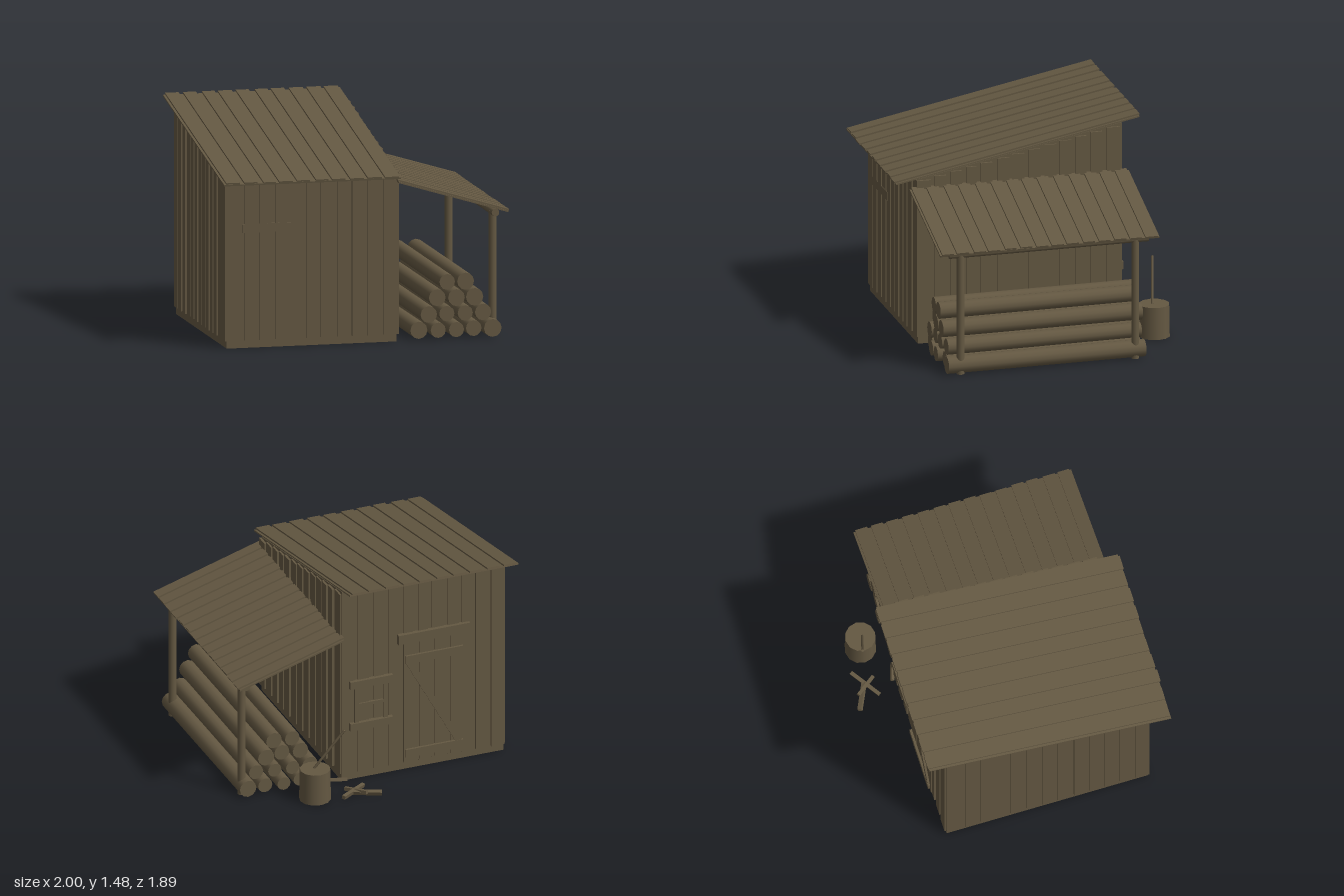
import * as THREE from 'three';

export function createModel() {
  const model = new THREE.Group();
  const wood = new THREE.MeshStandardMaterial({ color: 0x645842 });
  wood.name = 'weathered wood';

  // Small seeded generator for uneven boards
  let seed = 11;
  const rnd = () => (seed = (seed * 16807) % 2147483647) / 2147483647;
  const add = (name, geo, parent = model) => {
    const m = new THREE.Mesh(geo, wood);
    m.name = name;
    parent.add(m);
    return m;
  };
  // Box given by its two extreme corners
  const span = (name, x0, x1, y0, y1, z0, z1, parent) => {
    const m = add(name, new THREE.BoxGeometry(x1 - x0, y1 - y0, z1 - z0), parent);
    m.position.set((x0 + x1) / 2, (y0 + y1) / 2, (z0 + z1) / 2);
    return m;
  };
  // Round or square bar between two points
  const bar = (name, a, b, r, sides = 12, r2 = r, parent = model) => {
    const p = new THREE.Vector3(...a), q = new THREE.Vector3(...b);
    let geo = new THREE.CylinderGeometry(r2, r, p.distanceTo(q), sides);
    if (sides < 6) { geo = geo.toNonIndexed(); geo.computeVertexNormals(); }
    const m = add(name, geo, parent);
    m.position.copy(p).add(q).multiplyScalar(0.5);
    m.quaternion.setFromUnitVectors(new THREE.Vector3(0, 1, 0), q.sub(p).normalize());
    return m;
  };
  const group = (name) => {
    const g = new THREE.Group();
    g.name = name;
    model.add(g);
    return g;
  };
  const roofY = (z) => 1.14 + (0.94 - z) * 0.194;
  const X0 = -0.945, X1 = 0.23, Z0 = -0.63, Z1 = 0.78;

  // Sill frame below the floor
  const sill = group('sillFrame');
  span('frontSill', X0, X1, 0, 0.055, Z1 - 0.06, Z1, sill);
  span('backSill', X0, X1, 0, 0.055, Z0, Z0 + 0.06, sill);
  span('leftSill', X1 - 0.06, X1, 0, 0.055, Z0 + 0.06, Z1 - 0.06, sill);
  span('rightSill', X0, X0 + 0.06, 0, 0.055, Z0 + 0.06, Z1 - 0.06, sill);

  // Shed body with a sloping top
  const outline = new THREE.Shape([[-Z1, 0.05], [-Z0, 0.05], [-Z0, roofY(Z0) - 0.008], [-Z1, roofY(Z1) - 0.008]]
    .map((p) => new THREE.Vector2(...p)));
  const body = add('shedBody', new THREE.ExtrudeGeometry(outline, { depth: X1 - X0, bevelEnabled: false }).rotateY(Math.PI / 2));
  body.position.x = X0;

  // Wall boards: wide boards over the body, with narrow gaps
  const walls = group('wallBoards');
  const boards = (from, to, n, make) => {
    const step = (to - from) / n;
    for (let i = 0; i < n; i++) {
      const a = from + i * step + (i ? 0.008 + rnd() * 0.012 : 0);
      const b = from + (i + 1) * step - (i < n - 1 ? 0.008 + rnd() * 0.012 : 0);
      make(a, b, 0.009 + rnd() * 0.007);
    }
  };
  boards(X0, X1, 11, (a, b, t) => {
    span('frontBoard', a, b, 0.052, roofY(Z1) - 0.014, Z1, Z1 + t, walls);
  });
  boards(X0, X1, 11, (a, b, t) => {
    span('backBoard', a, b, 0.052, roofY(Z0) - 0.01, Z0 - t, Z0, walls);
  });
  boards(Z0, Z1 + 0.01, 13, (a, b, t) => {
    const top = roofY(b) - 0.014;
    span('leftBoard', X1, X1 + t, 0.052, top, a, b, walls);
    span('rightBoard', X0 - t, X0, 0.052, top, a, b, walls);
  });
  span('frontCrossboard', -0.84, -0.48, 0.785, 0.845, Z1, Z1 + 0.013, walls);

  // Board-and-gap roof panel; boards run along local x, spread along local z
  const roofPanel = (name, length, width, n) => {
    const g = group(name);
    span('underBoards', -length / 2 + 0.008, length / 2 - 0.008, -0.008, 0.002, -width / 2, width / 2, g);
    const step = width / n;
    for (let i = 0; i < n; i++) {
      const a = -width / 2 + i * step + 0.01 + rnd() * 0.01;
      const w = step * (0.7 + rnd() * 0.1), e = rnd() * 0.012;
      span('roofBoard', -length / 2, length / 2 - e, 0.002, 0.013, a, a + w, g);
    }
    return g;
  };
  const main = roofPanel('mainRoof', 1.745, 1.225, 10);
  main.rotation.set(0.1917, -Math.PI / 2, 0, 'XYZ');
  main.position.set(-0.3875, 1.305, 0.0825);
  const lean = roofPanel('leanToRoof', 0.808, 1.53, 14);
  lean.rotation.z = -0.294;
  lean.position.set(0.6125, 0.981, 0.075);

  // Lean-to posts and beam
  for (const z of [0.68, -0.54]) bar('leanToPost', [0.92, 0, z], [0.92, 0.85, z], 0.027);
  bar('leanToBeam', [0.92, 0.845, 0.76], [0.92, 0.845, -0.63], 0.026);

  // Stacked logs
  const logs = group('logPile');
  [5, 4, 3, 2].forEach((n, row) => {
    for (let i = 0; i < n; i++) {
      const x = 0.395 + row * 0.063 + i * 0.126;
      const y = 0.062 + row * 0.109;
      const r = 0.052 + rnd() * 0.009;
      bar('log', [x, y, 0.74 + rnd() * 0.04], [x, y, -0.59 - rnd() * 0.04], r, 12, r - rnd() * 0.005, logs);
    }
  });

  // Chopping block with a leaning handle
  bar('choppingBlock', [0.49, 0, -0.795], [0.49, 0.225, -0.795], 0.108, 12, 0.104);
  bar('axeHandle', [0.5, 0.21, -0.78], [0.295, 0.497, -0.838], 0.009, 6);

  // Split kindling on the ground
  const kindling = group('kindling');
  bar('stick', [0.06, 0.022, -0.93], [0.24, 0.022, -0.845], 0.02, 4, 0.02, kindling);
  bar('stick', [0.33, 0.03, -0.91], [0.13, 0.018, -0.77], 0.018, 4, 0.018, kindling);
  bar('stick', [0.16, 0.035, -0.91], [0.265, 0.02, -0.775], 0.017, 4, 0.017, kindling);
  bar('stick', [0.32, 0.02, -0.62], [0.2, 0.02, -0.66], 0.017, 4, 0.017, kindling);

  // Back door: planks, lintel, battens and diagonal brace
  const door = group('backDoor');
  const zb = Z0 - 0.016;
  for (let i = 0; i < 4; i++) {
    const x = -0.66 + i * 0.113;
    span('doorPlank', x, x + 0.106, 0.065, 0.96, zb - 0.006, zb + 0.01, door);
  }
  span('doorLintel', -0.69, -0.17, 0.965, 1.035, zb - 0.022, zb + 0.01, door);
  for (const y of [0.1, 0.81]) span('doorBatten', -0.64, -0.22, y, y + 0.06, zb - 0.022, zb, door);
  const dx = 0.36, dy = 0.66;
  const brace = add('doorBrace', new THREE.BoxGeometry(0.045, Math.hypot(dx, dy), 0.016), door);
  brace.position.set(-0.43, 0.485, zb - 0.012);
  brace.rotation.z = -Math.atan2(dx, dy);

  // Back window frame
  const win = group('backWindow');
  span('windowHead', -0.13, 0.18, 0.695, 0.75, zb - 0.02, zb + 0.01, win);
  span('windowSill', -0.13, 0.18, 0.38, 0.435, zb - 0.024, zb + 0.01, win);
  for (const x of [-0.095, 0.115]) span('windowJamb', x, x + 0.03, 0.435, 0.695, zb - 0.012, zb + 0.01, win);
  span('windowBar', -0.065, 0.115, 0.55, 0.572, zb - 0.008, zb + 0.01, win);

  return model;
}
